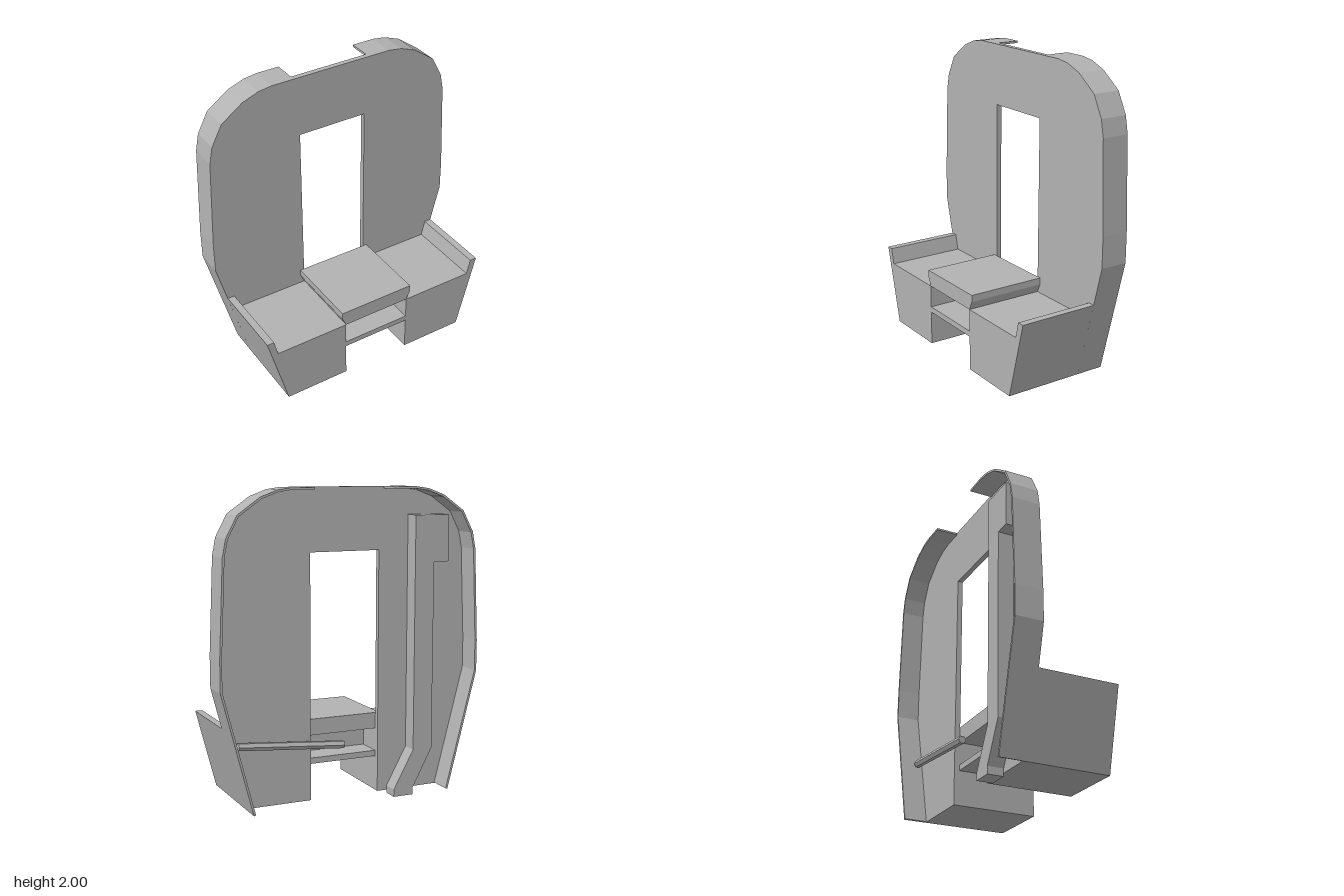
import * as THREE from 'three';

const FRONT = 0.358, BACK = -0.358, PLATE_FRONT = -0.173, PLATE_BACK = -0.208;

export function createModel() {
  const model = new THREE.Group();
  const grey = new THREE.MeshStandardMaterial({ color: 0xb2b2b2 });

  const add = (name, geometry) => {
    const mesh = new THREE.Mesh(geometry, grey);
    mesh.name = name;
    model.add(mesh);
    return mesh;
  };

  // Extrudes an x-y outline between two depths
  const slab = (name, points, z0, z1) => {
    const shape = new THREE.Shape(points.map(([x, y]) => new THREE.Vector2(x, y)));
    const geometry = new THREE.ExtrudeGeometry(shape, { depth: z1 - z0, bevelEnabled: false });
    return add(name, geometry.translate(0, 0, z0));
  };
  const mirror = (points) => points.map(([x, y]) => [-x, y]);

  // Outer contour of one half, from the foot up to the top
  const contour = [
    [0.68, 0.02], [0.883, 0.8], [0.883, 1.0], [0.857, 1.6], [0.835, 1.71],
    [0.763, 1.845], [0.618, 1.947], [0.51, 1.987], [0.42, 2.0],
  ];

  // Back plate with a tall slot open at the bottom
  slab('backPlate', [
    ...contour, ...mirror(contour).reverse(),
    [-0.237, 0.02], [-0.237, 1.6], [0.237, 1.6], [0.237, 0.02],
  ], PLATE_BACK, PLATE_FRONT);

  // Thin rim running backwards around each half
  const outer = [...contour, [0.268, 2.0]];
  const inner = outer.map(([x, y], i) => {
    const a = outer[Math.max(i - 1, 0)], b = outer[Math.min(i + 1, outer.length - 1)];
    const dx = b[0] - a[0], dy = b[1] - a[1], k = 0.014 / Math.hypot(dx, dy);
    return [x - dy * k, y + dx * k];
  });
  const rim = [...outer, ...inner.reverse()];

  // Side block with a raised armrest on its outer edge
  const block = [
    [0.237, 0.02], [0.68, 0.02], [0.815, 0.54], [0.767, 0.54], [0.742, 0.435], [0.237, 0.435],
  ];

  for (const [side, flip] of [['left', (p) => p], ['right', mirror]]) {
    slab(side + 'Rim', flip(rim), BACK, PLATE_BACK);
    slab(side + 'Block', flip(block), PLATE_FRONT, FRONT);
  }

  // Centre seat, tapered at its lower sides
  const seatSide = [[0.237, 0.435], [0.265, 0.495], [0.265, 0.54]];
  slab('centreSeat', [...seatSide, ...mirror(seatSide).reverse()], PLATE_FRONT, FRONT);

  // Shelf under the seat and the web between them
  const bar = (w, y0, y1) => [[-w, y0], [w, y0], [w, y1], [-w, y1]];
  slab('shelf', bar(0.237, 0.248, 0.286), PLATE_FRONT, FRONT);
  slab('seatWeb', bar(0.237, 0.286, 0.435), 0, 0.05);

  // Hooked post on the back, with its foot reaching the ground
  slab('hookedPost', [
    [-0.305, 0], [-0.305, 0.048], [-0.444, 0.3], [-0.444, 1.82], [-0.685, 1.82],
    [-0.685, 1.52], [-0.58, 1.52], [-0.58, 0.3], [-0.445, 0.048], [-0.445, 0],
  ], -0.312, PLATE_BACK);

  // Slightly tilted faceted rod behind the plate
  const from = new THREE.Vector3(0.03, 0.375, -0.252);
  const to = new THREE.Vector3(0.74, 0.435, -0.252);
  const along = to.clone().sub(from);
  const rodGeometry = new THREE.CylinderGeometry(0.026, 0.026, along.length(), 6).toNonIndexed();
  rodGeometry.computeVertexNormals();
  const rod = add('rod', rodGeometry);
  rod.position.copy(from).add(to).multiplyScalar(0.5);
  rod.quaternion.setFromUnitVectors(new THREE.Vector3(0, 1, 0), along.normalize());

  return model;
}
